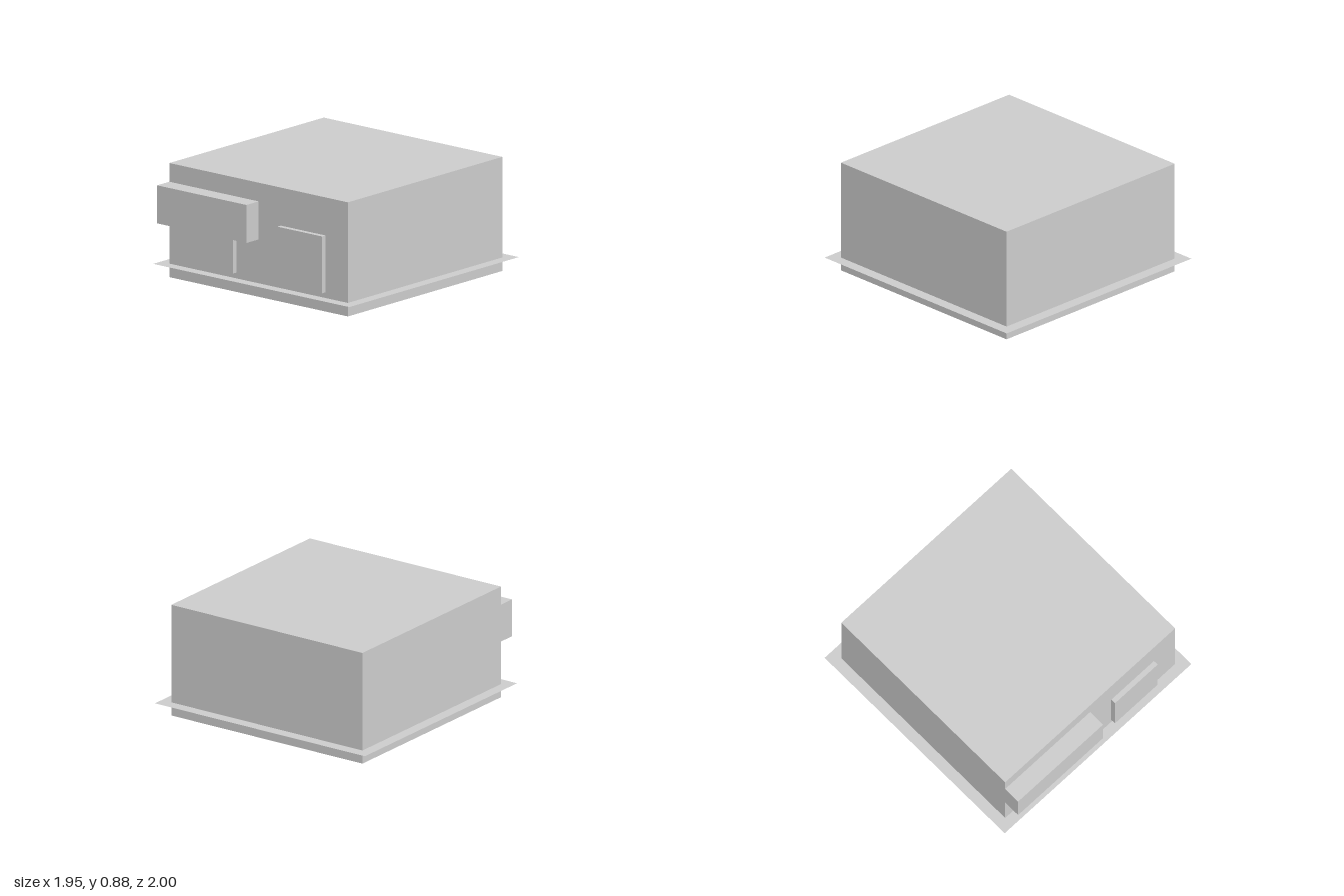
import * as THREE from 'three';

export function createModel() {
  const group = new THREE.Group();
  const material = new THREE.MeshStandardMaterial({ color: 0xcccccc, flatShading: true });

  // Box given by its minimum and maximum corners
  const addBox = (name, [x0, y0, z0], [x1, y1, z1]) => {
    const mesh = new THREE.Mesh(new THREE.BoxGeometry(x1 - x0, y1 - y0, z1 - z0), material);
    mesh.position.set((x0 + x1) / 2, (y0 + y1) / 2, (z0 + z1) / 2);
    mesh.name = name;
    group.add(mesh);
  };

  const wallZ = 0.86;

  // Main building block
  addBox('building', [-0.885, 0, -0.91], [0.885, 0.885, wallZ]);

  // Doorway panels on the front wall
  addBox('rightDoor', [-0.665, 0.15, wallZ], [-0.22, 0.59, 0.9]);
  addBox('leftDoor', [0.22, 0.15, wallZ], [0.665, 0.59, 0.9]);

  // Deep sign box above the right door
  addBox('awning', [-0.885, 0.445, wallZ], [0, 0.74, 1]);

  // Paper-thin ground sheet passing through the block
  const sheetMaterial = material.clone();
  sheetMaterial.side = THREE.DoubleSide;
  const sheet = new THREE.Mesh(new THREE.PlaneGeometry(1.945, 1.945), sheetMaterial);
  sheet.rotation.x = -Math.PI / 2;
  sheet.position.set(0, 0.105, -0.027);
  sheet.name = 'groundSheet';
  group.add(sheet);

  return group;
}
